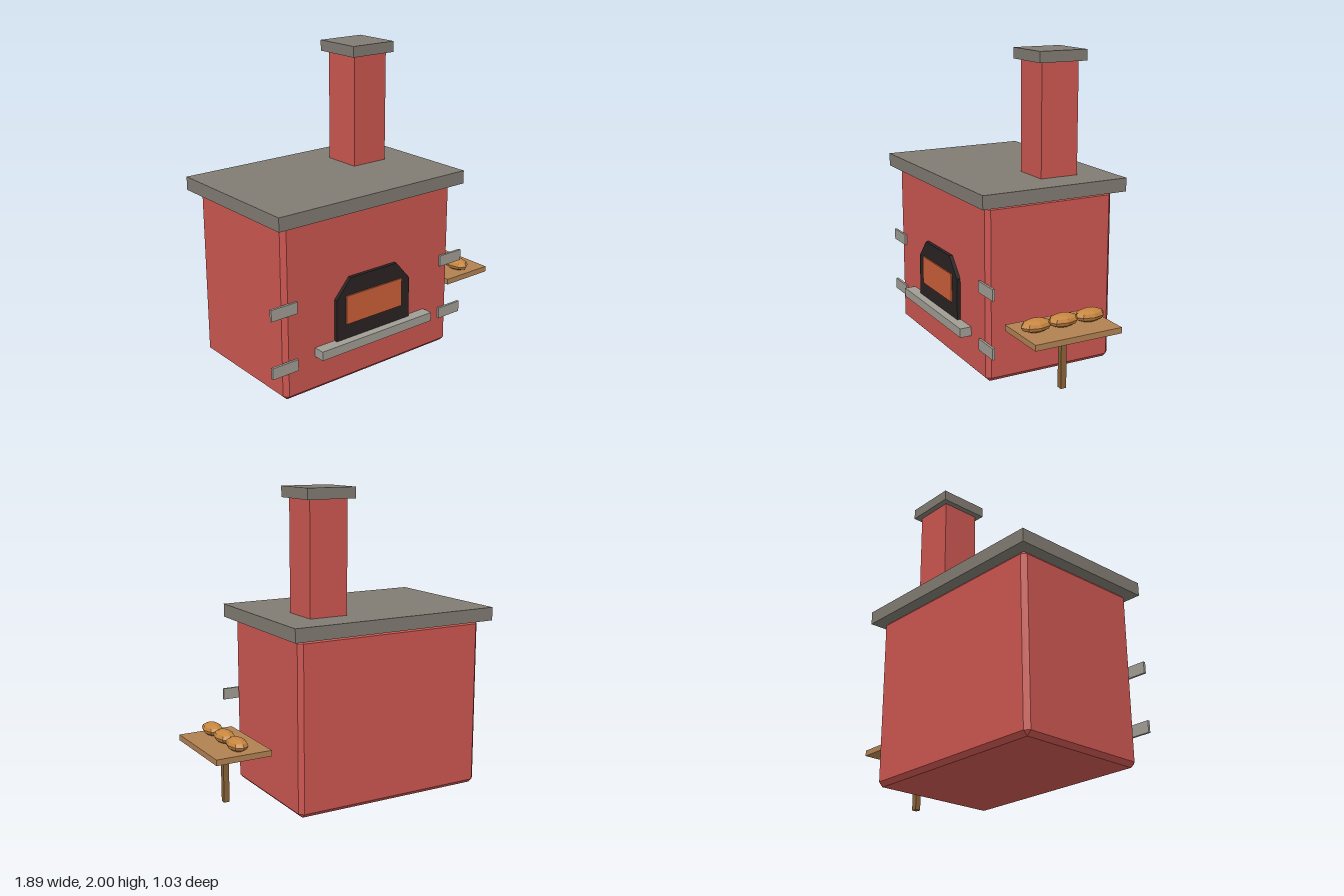
import * as THREE from 'three';
import { ConvexGeometry } from 'three/addons/geometries/ConvexGeometry.js';

const mat = (name, color) => new THREE.MeshStandardMaterial({ name, color, flatShading: true });

// Box with every edge cut by a single flat chamfer
function chamferBox(w, h, d, c) {
  const pts = [];
  for (const sx of [-1, 1]) for (const sy of [-1, 1]) for (const sz of [-1, 1]) {
    const x = w / 2, y = h / 2, z = d / 2;
    pts.push(
      new THREE.Vector3(sx * x, sy * (y - c), sz * (z - c)),
      new THREE.Vector3(sx * (x - c), sy * y, sz * (z - c)),
      new THREE.Vector3(sx * (x - c), sy * (y - c), sz * z));
  }
  return new ConvexGeometry(pts);
}

export function createModel() {
  const group = new THREE.Group();
  group.name = 'brickOven';

  const brick = mat('brickRed', 0xcb5650);
  const slab = mat('darkStone', 0x807b72);
  const stone = mat('lightStone', 0xa09d94);
  const soot = mat('soot', 0x2b2222);
  const ember = mat('ember', 0xcc5f39);
  const board = mat('boardWood', 0xb18152);
  const legWood = mat('legWood', 0x8a6238);
  const crust = mat('crust', 0xc6853f);

  const add = (name, geometry, material, x, y, z) => {
    const mesh = new THREE.Mesh(geometry, material);
    mesh.name = name;
    mesh.position.set(x, y, z);
    group.add(mesh);
    return mesh;
  };
  // Box given by its extents on each axis
  const box = (name, material, [x0, x1], [y0, y1], [z0, z1]) =>
    add(name, new THREE.BoxGeometry(x1 - x0, y1 - y0, z1 - z0), material,
      (x0 + x1) / 2, (y0 + y1) / 2, (z0 + z1) / 2);

  // Oven body, roof slab and chimney
  add('ovenBody', chamferBox(1.34, 1.124, 0.894, 0.028), brick, -0.18, 0.562, -0.008);
  box('roofSlab', slab, [-0.908, 0.549], [1.12, 1.207], [-0.515, 0.493]);
  box('chimney', brick, [0.063, 0.325], [1.2, 1.935], [-0.29, -0.028]);
  box('chimneyCap', slab, [0.026, 0.361], [1.93, 2], [-0.329, 0.007]);

  // Oven mouth with clipped upper corners, and the glow inside it
  const arch = new THREE.Shape([
    [-0.475, 0.29], [0.116, 0.29], [0.116, 0.568], [0.006, 0.694], [-0.364, 0.694], [-0.475, 0.568],
  ].map(([x, y]) => new THREE.Vector2(x, y)));
  add('ovenMouth', new THREE.ExtrudeGeometry(arch, { depth: 0.035, bevelEnabled: false }), soot, 0, 0, 0.428);
  box('emberGlow', ember, [-0.403, 0.045], [0.394, 0.582], [0.463, 0.472]);
  box('sill', stone, [-0.626, 0.268], [0.236, 0.295], [0.42, 0.516]);

  // Corner stones, mirrored about the body centre
  for (const side of [-1, 1]) for (const y of [0.228, 0.603]) {
    const x = -0.18 + side * 0.674;
    box('cornerStone', stone, [x - 0.094, x + 0.094], [y - 0.037, y + 0.037], [0.437, 0.453]);
  }

  // Side table
  box('tableTop', board, [0.57, 0.942], [0.359, 0.397], [-0.235, 0.36]);
  box('tableLeg', legWood, [0.736, 0.774], [0, 0.362], [0.047, 0.085]);

  // Loaves in a row
  for (const z of [-0.125, 0.063, 0.25]) {
    const loaf = add('loaf', new THREE.SphereGeometry(1, 8, 6), crust, 0.755, 0.437, z);
    loaf.scale.set(0.063, 0.042, 0.103);
  }
  return group;
}
